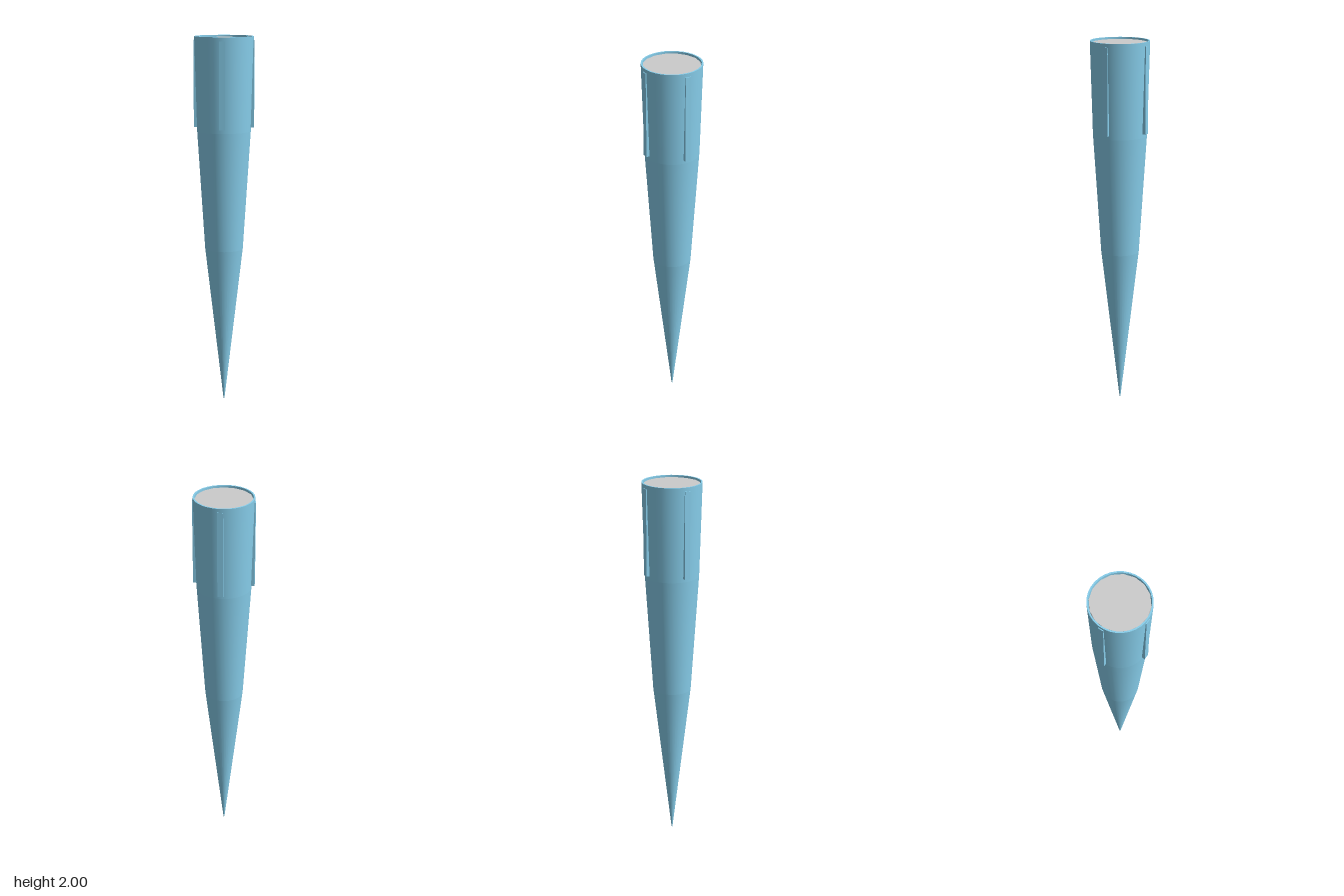
import * as THREE from 'three';

export function createModel() {
  const group = new THREE.Group();
  const blue = new THREE.MeshStandardMaterial({ color: 0x87ceeb, side: THREE.DoubleSide });
  const grey = new THREE.MeshStandardMaterial({ color: 0xcccccc });

  const add = (name, geometry, material = blue) => {
    const mesh = new THREE.Mesh(geometry, material);
    mesh.name = name;
    group.add(mesh);
    return mesh;
  };
  // Each band is lathed on its own so the seams between bands stay crisp
  const band = (name, ...points) =>
    add(name, new THREE.LatheGeometry(points.map(([r, y]) => new THREE.Vector2(r, y)), 32));

  // Tapered shell: pointed tip, long body, collar, rim and inner wall
  band('tip', [0, 0], [0.004, 0.02], [0.102, 0.86]);
  band('body', [0.102, 0.86], [0.143, 1.5]);
  band('collar', [0.143, 1.5], [0.157, 2]);
  band('rim', [0.157, 2], [0.149, 2]);
  band('innerWall', [0.149, 2], [0.136, 1.5], [0.094, 0.86], [0, 0.08]);

  // Sixteen-sided plug closing the open top
  const plug = add('plug', new THREE.CylinderGeometry(0.147, 0.147, 0.08, 16), grey);
  plug.position.y = 1.95;
  plug.rotation.y = Math.PI / 16;

  // Four upright ribs, each offset to one side of its axis
  const ribGeometry = new THREE.BoxGeometry(0.03, 0.46, 0.018);
  ribGeometry.translate(0, 1.75, 0.151);
  for (let i = 0; i < 4; i++) {
    add('rib' + (i + 1), ribGeometry).rotation.y = 0.095 + i * Math.PI / 2;
  }
  return group;
}
